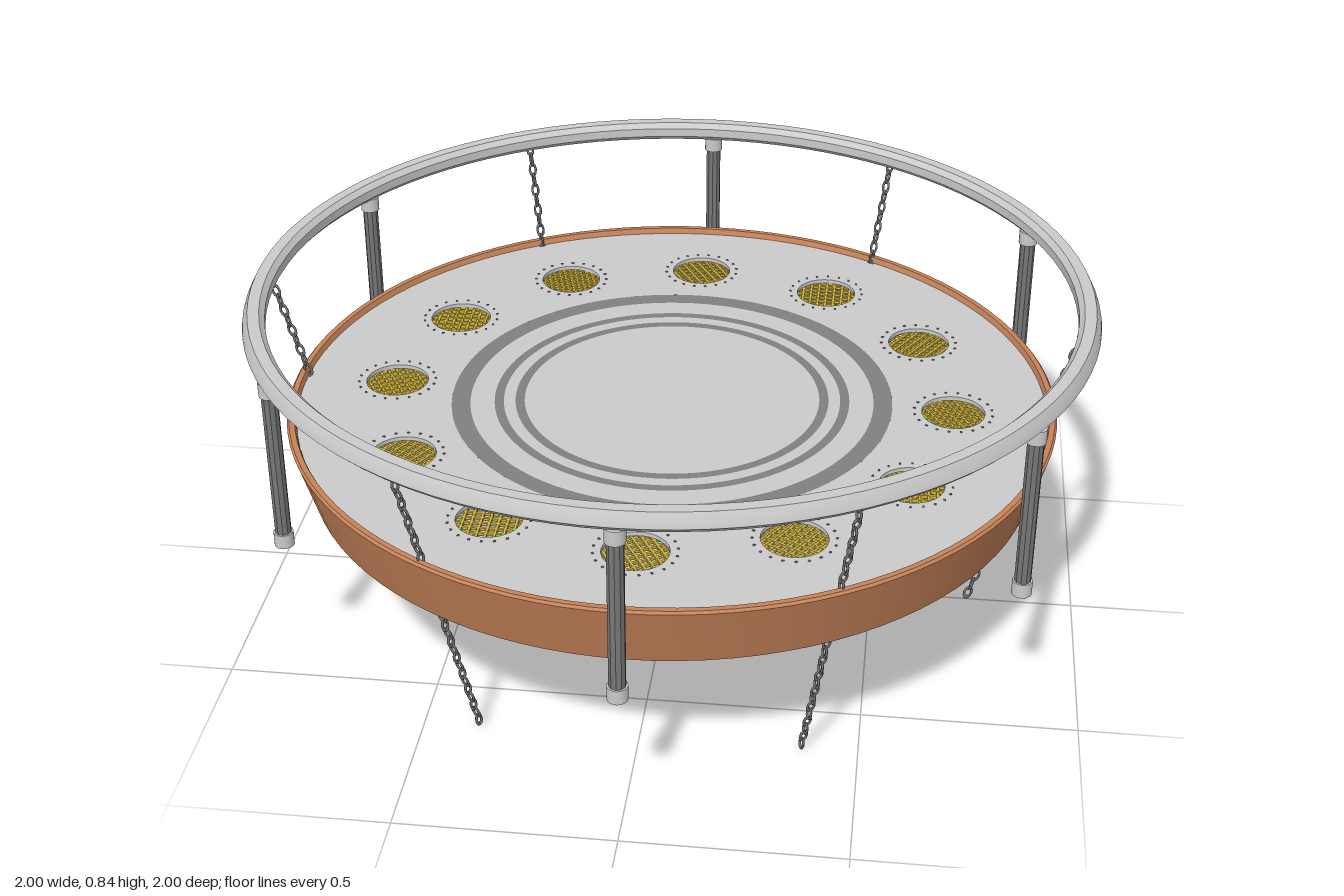
import * as THREE from 'three';
import { mergeGeometries, toCreasedNormals } from 'three/addons/utils/BufferGeometryUtils.js';

const material = (color) => new THREE.MeshStandardMaterial({ color, side: THREE.DoubleSide });
const grey = material(0xcccccc);
const darkGrey = material(0x808080);
const steel = material(0x777777);
const copper = material(0xc68359);
const yellow = material(0xd0b43c);

function add(parent, name, geometry, mat, x = 0, y = 0, z = 0) {
  const mesh = new THREE.Mesh(geometry, mat);
  mesh.name = name;
  mesh.position.set(x, y, z);
  parent.add(mesh);
  return mesh;
}

// Closed [radius, y] profile, counter-clockwise, turned around the y axis
function turned(profile, segments = 96) {
  const points = [...profile, profile[0]].map(([r, y]) => new THREE.Vector2(r, y));
  return toCreasedNormals(new THREE.LatheGeometry(points, segments), 0.5);
}

const band = (r0, r1, y0, y1) => turned([[r0, y0], [r1, y0], [r1, y1], [r0, y1]]);

const DECK_TOP = 0.532, DECK_BOTTOM = 0.522;
const VENT_RADIUS = 0.675, VENT_COUNT = 12, HOLE = 0.075;
const FIRST_VENT = Math.PI / 6;

// Outer deck ring with the round vent openings
function ventedDeck() {
  const shape = new THREE.Shape().absarc(0, 0, 0.9, 0, Math.PI * 2, false);
  const circle = (x, y, r) => new THREE.Path().absarc(x, y, r, 0, Math.PI * 2, true);
  shape.holes.push(circle(0, 0, 0.53));
  for (let i = 0; i < VENT_COUNT; i++) {
    const a = FIRST_VENT + (i * Math.PI * 2) / VENT_COUNT;
    shape.holes.push(circle(Math.sin(a) * VENT_RADIUS, Math.cos(a) * VENT_RADIUS, HOLE));
  }
  const geometry = new THREE.ExtrudeGeometry(shape, {
    depth: DECK_TOP - DECK_BOTTOM, bevelEnabled: false, curveSegments: 32,
  });
  return geometry.rotateX(-Math.PI / 2).translate(0, DECK_BOTTOM, 0);
}

// Square mesh of crossed bars in a thin frame
function grateGeometry() {
  const parts = [];
  const size = 0.2, pitch = 0.02;
  for (let i = -5; i <= 5; i++) {
    const w = Math.abs(i) === 5 ? 0.012 : 0.006;
    parts.push(new THREE.BoxGeometry(w, 0.008, size).translate(i * pitch, 0, 0));
    parts.push(new THREE.BoxGeometry(size, 0.006, w).translate(0, 0, i * pitch));
  }
  return mergeGeometries(parts);
}

// Circle of small studs around a vent
function studGeometry() {
  const parts = [];
  for (let i = 0; i < 20; i++) {
    const a = (i / 20) * Math.PI * 2;
    parts.push(new THREE.BoxGeometry(0.005, 0.004, 0.005)
      .translate(Math.cos(a) * 0.093, 0, Math.sin(a) * 0.093));
  }
  return mergeGeometries(parts);
}

// Interlocking oval links hanging from the top point to the bottom point
function chainGeometry(top, bottom, count) {
  const parts = [];
  const up = top.clone().sub(bottom);
  const pitch = up.length() / count;
  const tilt = new THREE.Quaternion().setFromUnitVectors(new THREE.Vector3(0, 1, 0), up.normalize());
  for (let i = 0; i < count; i++) {
    const link = new THREE.TorusGeometry(0.0085, 0.0032, 5, 10);
    link.scale(1, 1.75, 1).rotateY((i % 2) * Math.PI / 2).applyQuaternion(tilt);
    const p = bottom.clone().addScaledVector(up, (i + 0.5) * pitch);
    parts.push(link.translate(p.x, p.y, p.z));
  }
  return mergeGeometries(parts);
}

export function createModel() {
  const model = new THREE.Group();
  model.name = 'suspendedRoundPlatform';

  // Faceted hoop rail
  add(model, 'hoopRail', turned([
    [0.957, 0.788], [0.984, 0.788], [0.998, 0.802], [0.996, 0.812], [0.984, 0.835],
    [0.957, 0.835], [0.945, 0.822], [0.945, 0.8],
  ]), grey);

  // Tapered skirt, open below
  add(model, 'skirt', turned([
    [0.865, 0.39], [0.875, 0.39], [0.919, 0.54], [0.914, 0.546], [0.901, 0.546], [0.898, 0.54],
  ]), copper);

  // Deck: vented outer part, then alternating concentric bands
  add(model, 'ventedDeck', ventedDeck(), grey);
  const radii = [0.53, 0.485, 0.427, 0.405, 0.377, 0.355];
  for (let i = 0; i < radii.length; i++) {
    const dark = i % 2 === 0;
    add(model, dark ? 'darkDeckRing' : 'deckRing',
      band(radii[i + 1] ?? 0, radii[i], DECK_BOTTOM, DECK_TOP), dark ? darkGrey : grey);
  }

  // Vents: grate under each opening, drum below, studs around the edge
  const grate = grateGeometry();
  const studs = studGeometry();
  const drum = new THREE.CylinderGeometry(HOLE, HOLE, 0.05, 32);
  const ventX = Math.sin(FIRST_VENT) * VENT_RADIUS, ventZ = -Math.cos(FIRST_VENT) * VENT_RADIUS;
  for (let i = 0; i < VENT_COUNT; i++) {
    const vent = new THREE.Group();
    vent.name = 'vent';
    vent.rotation.y = (i * Math.PI * 2) / VENT_COUNT;
    add(vent, 'grate', grate, yellow, ventX, 0.517, ventZ);
    add(vent, 'drum', drum, grey, ventX, 0.485, ventZ);
    add(vent, 'studs', studs, darkGrey, ventX, DECK_TOP, ventZ);
    model.add(vent);
  }

  // Six posts under the rail, with collars at both ends
  const shaft = toCreasedNormals(new THREE.CylinderGeometry(0.019, 0.019, 0.4, 10), 0.3);
  const collar = new THREE.CylinderGeometry(0.023, 0.023, 0.035, 20);
  for (let i = 0; i < 6; i++) {
    const post = new THREE.Group();
    post.name = 'post';
    const a = (i * Math.PI) / 3;
    post.position.set(Math.sin(a) * 0.972, 0, Math.cos(a) * 0.972);
    post.rotation.y = a;
    add(post, 'shaft', shaft, steel, 0, 0.575, 0);
    add(post, 'lowerCollar', collar, grey, 0, 0.378, 0);
    add(post, 'upperCollar', collar, grey, 0, 0.772, 0);
    model.add(post);
  }

  // Six chains running inward from the rail, between the posts
  const chain = chainGeometry(new THREE.Vector3(0.97, 0.8, 0), new THREE.Vector3(0.74, 0.003, 0), 30);
  for (let i = 0; i < 6; i++) {
    add(model, 'chain', chain, steel).rotation.y = (i * Math.PI) / 3;
  }
  return model;
}
